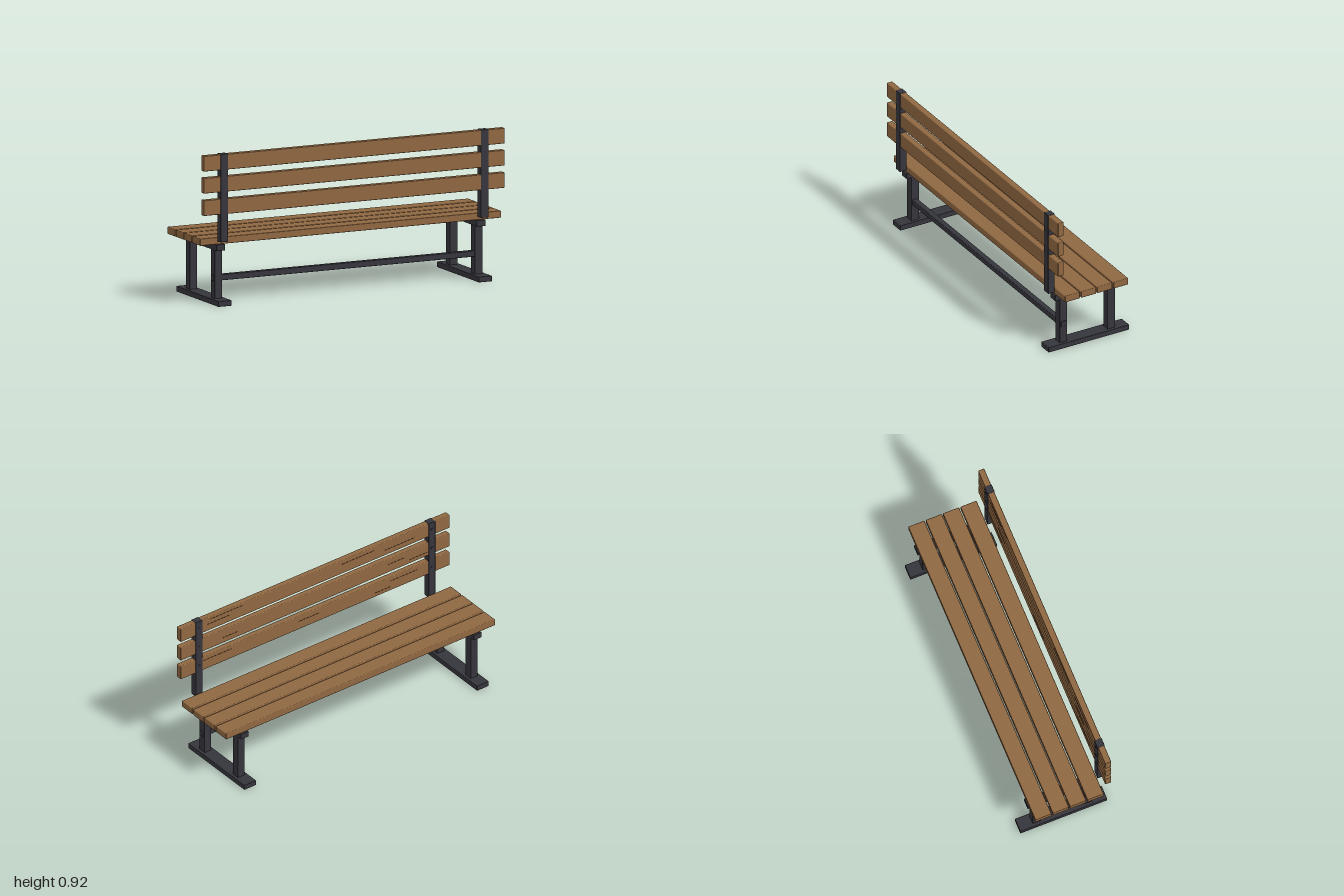
import * as THREE from 'three';
import { RoundedBoxGeometry } from 'three/addons/geometries/RoundedBoxGeometry.js';

export function createModel() {
  const bench = new THREE.Group();
  bench.name = 'bench';
  const mat = (name, color) => {
    const m = new THREE.MeshStandardMaterial({ color });
    m.name = name;
    return m;
  };
  const wood = mat('brown wood', 0x8f6741);
  const metal = mat('dark metal', 0x35353c);
  const grain = mat('dark wood grain', 0x4a321d);

  function add(name, geometry, material, x, y, z) {
    const mesh = new THREE.Mesh(geometry, material);
    mesh.name = name;
    mesh.position.set(x, y, z);
    bench.add(mesh);
    return mesh;
  }
  // Softly rounded bar
  const bar = (name, material, w, h, d, x, y, z, r = 0.004) =>
    add(name, new RoundedBoxGeometry(w, h, d, 2, r), material, x, y, z);

  // Seat boards
  for (const z of [-0.167, -0.055, 0.055, 0.167]) {
    bar('seatBoard', wood, 2, 0.043, 0.103, 0, 0.388, z, 0.005);
  }

  // Backrest boards, with fine grain streaks on the sitting side: [x, dy, length]
  const boards = [
    { y: 0.87, streaks: [[0.66, 0.03, 0.24], [0.72, 0.0, 0.16], [-0.32, 0.02, 0.24], [-0.63, -0.01, 0.22]] },
    { y: 0.737, streaks: [[0.63, -0.01, 0.11], [-0.6, 0.01, 0.13], [-0.77, -0.02, 0.13]] },
    { y: 0.602, streaks: [[0.75, 0.02, 0.25], [0.05, 0.01, 0.16], [-0.5, -0.02, 0.12], [-0.66, 0.02, 0.2]] },
  ];
  for (const { y, streaks } of boards) {
    bar('backBoard', wood, 2, 0.094, 0.039, 0, y, 0.248, 0.005);
    for (const [x, dy, length] of streaks) {
      add('grainStreak', new THREE.BoxGeometry(length, 0.003, 0.002), grain, x, y + dy, 0.2283);
    }
  }

  // End frames, mirrored
  for (const x of [-0.865, 0.865]) {
    bar('foot', metal, 0.088, 0.034, 0.556, x, 0.017, 0);
    bar('seatRail', metal, 0.058, 0.039, 0.45, x, 0.346, 0);
    for (const z of [-0.165, 0.165]) {
      bar('leg', metal, 0.05, 0.3, 0.052, x, 0.18, z, 0.002);
    }
    bar('backPost', metal, 0.05, 0.532, 0.046, x, 0.653, 0.247, 0.003);
    // Bolt heads on the post
    for (const { y } of boards) {
      add('bolt', new THREE.CylinderGeometry(0.008, 0.008, 0.006, 12), metal, x, y, 0.2245)
        .rotation.x = Math.PI / 2;
    }
  }

  // Stretcher joining the two frames
  bar('stretcher', metal, 1.79, 0.036, 0.035, 0, 0.157, 0.167);

  return bench;
}
